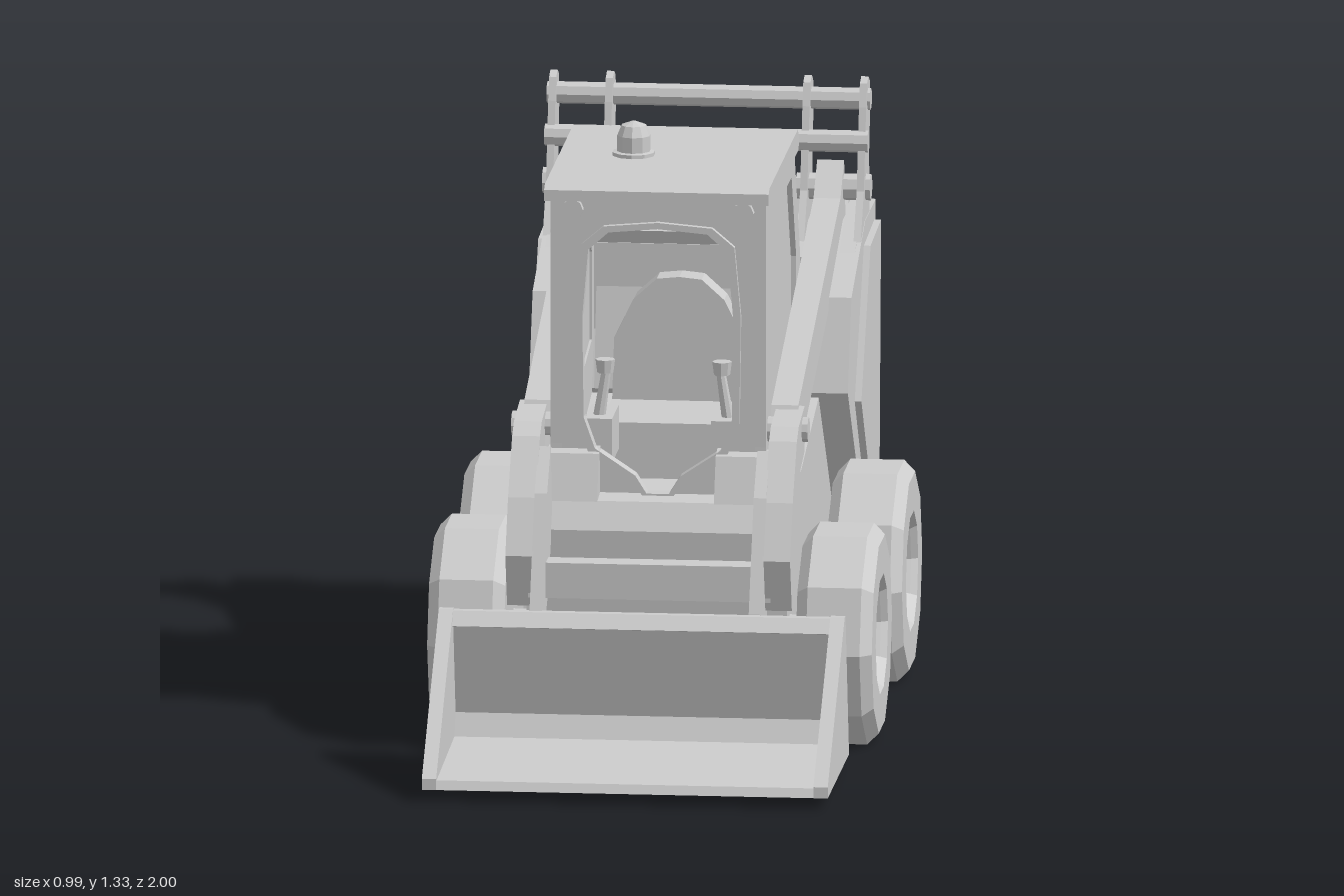
import * as THREE from 'three';

export function createModel() {
  const root = new THREE.Group();
  const mat = new THREE.MeshStandardMaterial({ color: 0xcccccc, flatShading: true, side: THREE.DoubleSide });
  const add = (name, geo, parent = root) => {
    const m = new THREE.Mesh(geo, mat);
    m.name = name;
    parent.add(m);
    return m;
  };
  const box = (name, x0, x1, y0, y1, z0, z1) =>
    add(name, new THREE.BoxGeometry(Math.abs(x1 - x0), y1 - y0, z1 - z0)
      .translate((x0 + x1) / 2, (y0 + y1) / 2, (z0 + z1) / 2));
  const shapeOf = (pts, hole) => {
    const s = new THREE.Shape(pts.map(p => new THREE.Vector2(...p)));
    if (hole) s.holes.push(new THREE.Path(hole.map(p => new THREE.Vector2(...p))));
    return s;
  };
  const extrude = (pts, depth, hole) =>
    new THREE.ExtrudeGeometry(shapeOf(pts, hole), { depth, bevelEnabled: false });
  // Side profile given as [z, y], spanning a..b in x
  const slab = (name, pts, a, b, hole) =>
    add(name, extrude(pts, Math.abs(b - a), hole).rotateY(-Math.PI / 2).translate(Math.max(a, b), 0, 0));
  const rodX = (name, x0, x1, y, z, r, n = 8) =>
    add(name, new THREE.CylinderGeometry(r, r, Math.abs(x1 - x0), n).rotateZ(Math.PI / 2).translate((x0 + x1) / 2, y, z));
  const mirrorPts = half => [...half, ...half.filter(p => p[0] > 0).reverse().map(([x, y]) => [-x, y])];

  // Wheels: ten-sided tyre with a deep rim, hub and ring of bolts
  const tyre = [[0.001, -0.085], [0.22, -0.085], [0.247, -0.06], [0.247, 0.06], [0.222, 0.085], [0.135, 0.085],
    [0.125, 0.07], [0.1, 0.015], [0.085, 0.015], [0.085, 0.03], [0.05, 0.03], [0.05, 0.045], [0.001, 0.045]]
    .map(p => new THREE.Vector2(...p));
  for (const s of [1, -1]) for (const z of [0.24, -0.42]) {
    const wheel = new THREE.Group();
    wheel.name = 'wheel';
    add('tyre', new THREE.LatheGeometry(tyre, 10).rotateZ(-Math.PI / 2), wheel);
    for (let i = 0; i < 10; i++) {
      const a = i * Math.PI / 5;
      add('bolt', new THREE.CylinderGeometry(0.011, 0.011, 0.03, 6).rotateZ(Math.PI / 2)
        .translate(0.035, 0.07 * Math.sin(a), 0.07 * Math.cos(a)), wheel);
    }
    wheel.position.set(s * 0.41, 0.235, z);
    wheel.rotation.y = s > 0 ? 0 : Math.PI;
    root.add(wheel);
  }
  for (const z of [0.24, -0.42]) rodX('axle', -0.36, 0.36, 0.235, z, 0.04);

  // Chassis and front nose
  slab('chassis', [[0.3, 0.48], [-0.39, 0.63], [-0.77, 0.25], [-0.66, 0.21], [0.3, 0.21]], -0.29, 0.29);
  slab('nose', [[0.25, 0.55], [0.32, 0.54], [0.355, 0.48], [0.34, 0.28], [0.25, 0.25]], -0.245, 0.245);
  for (const s of [1, -1])
    slab('noseCheek', [[0.25, 0.65], [0.29, 0.64], [0.33, 0.54], [0.25, 0.53]], s * 0.13, s * 0.245);

  // Engine housing: two flanks around a recessed middle
  const flank = [[-0.39, 0.64], [-0.47, 0.84], [-0.77, 0.95], [-1, 0.95], [-0.955, 0.285], [-0.77, 0.24]];
  for (const s of [1, -1]) {
    slab('engineFlank', flank, s * 0.2, s * 0.355);
    slab('sidePanel', [[-0.54, 0.59], [-0.74, 0.9], [-0.97, 0.91], [-0.935, 0.31], [-0.79, 0.3]], s * 0.35, s * 0.37);
    slab('rearPillar', [[-0.94, 0.95], [-1, 0.99], [-0.99, 0.8], [-0.98, 0.62]], s * 0.2, s * 0.3);
    box('rearLight', s * 0.295, s * 0.325, 0.66, 0.8, -1, -0.97);
  }
  slab('engineCore', [[-0.39, 0.64], [-0.46, 0.95], [-0.96, 0.95], [-0.925, 0.3], [-0.77, 0.24]], -0.21, 0.21);
  slab('rearApron', [[-0.9, 0.28], [-0.955, 0.285], [-0.966, 0.45], [-0.9, 0.45]], -0.21, 0.21);
  for (let i = 0; i < 6; i++) {
    const y = 0.49 + i * 0.075, z = -0.93 - i * 0.004;
    slab('rearLouver', [[z, y + 0.05], [z - 0.015, y + 0.05], [z - 0.045, y], [z, y]], -0.2, 0.2);
  }

  // Hood on top with slats and exhaust
  slab('hood', [[-0.46, 0.93], [-0.48, 1.03], [-0.62, 1.04], [-0.95, 1.0], [-0.985, 0.94]], -0.2, 0.2);
  box('hoodShelf', -0.29, 0.29, 0.82, 0.93, -0.62, -0.47);
  for (const z of [-0.6, -0.66, -0.72, -0.9])
    box('hoodSlat', -0.11, 0.11, 1.0, 1.045 + (z + 0.6) * 0.12, z - 0.008, z + 0.008);
  const pipe = new THREE.CatmullRomCurve3([[0.12, 1.0, -0.53], [0.12, 1.06, -0.53], [0.12, 1.085, -0.515], [0.12, 1.1, -0.49]]
    .map(p => new THREE.Vector3(...p)));
  add('exhaust', new THREE.TubeGeometry(pipe, 6, 0.014, 8));

  // Cab shell
  const cabSide = [[0.25, 1.22], [-0.34, 1.22], [-0.47, 0.95], [-0.47, 0.62], [-0.39, 0.6], [0.27, 0.47]];
  const sideHole = [[0.2, 1.15], [-0.29, 1.15], [-0.39, 0.95], [-0.39, 0.75], [0.2, 0.65]];
  for (const s of [1, -1]) {
    slab('cabSide', cabSide, s * 0.215, s * 0.24, sideHole);
    slab('sideWindow', sideHole, s * 0.22, s * 0.228);
  }
  slab('roof', [[0.31, 1.215], [0.31, 1.24], [0.29, 1.25], [-0.33, 1.25], [-0.36, 1.22], [-0.34, 1.2], [0.25, 1.21]], -0.25, 0.25);
  const doorway = mirrorPts([[0, 1.15], [0.11, 1.14], [0.155, 1.1], [0.168, 0.95], [0.165, 0.72], [0.14, 0.65], [0.05, 0.59], [0.025, 0.55]]);
  add('cabFront', extrude([[-0.24, 0.5], [0.24, 0.5], [0.24, 1.22], [-0.24, 1.22]], 0.02, doorway).translate(0, 0, 0.245));
  const doorRim = doorway.map(([x, y]) => [x * 1.1, 0.87 + (y - 0.87) * 1.05]);
  add('doorFrame', extrude(doorRim, 0.025, doorway).translate(0, 0, 0.255));
  const rearHole = [[-0.17, 0.08], [-0.14, 0.055], [0.14, 0.055], [0.17, 0.08], [0.17, 0.21], [0.14, 0.235], [-0.14, 0.235], [-0.17, 0.21]];
  add('cabRear', extrude([[-0.235, 0], [0.235, 0], [0.235, 0.3], [-0.235, 0.3]], 0.02, rearHole)
    .rotateX(0.448).translate(0, 0.95, -0.47));
  box('cabBulkhead', -0.23, 0.23, 0.6, 0.96, -0.47, -0.44);

  // Seat and control levers
  box('seatBase', -0.15, 0.15, 0.5, 0.66, -0.25, 0.05);
  const back = mirrorPts([[0, 0.94], [0.05, 0.935], [0.1, 0.89], [0.145, 0.8], [0.15, 0.64]]);
  add('seatBack', extrude(back, 0.07).translate(0, 0, -0.26));
  for (const s of [1, -1]) {
    box('leverConsole', s * 0.11, s * 0.17, 0.6, 0.7, 0.05, 0.2);
    add('lever', new THREE.CylinderGeometry(0.01, 0.014, 0.12, 8).rotateZ(s * 0.15).translate(s * 0.135, 0.75, 0.15));
    add('leverGrip', new THREE.CylinderGeometry(0.022, 0.018, 0.03, 8).translate(s * 0.13, 0.81, 0.15));
    add('headlight', new THREE.CylinderGeometry(0.024, 0.024, 0.03, 8).rotateX(Math.PI / 2).translate(s * 0.19, 1.19, 0.27));
  }

  // Roof beacon
  const dome = [[0.048, 1.245], [0.048, 1.258], [0.038, 1.26], [0.038, 1.295], [0.028, 1.318], [0.001, 1.328]];
  add('beacon', new THREE.LatheGeometry(dome.map(p => new THREE.Vector2(...p)), 10).translate(-0.085, 0, -0.03));

  // Lift arms, rear towers and pins
  const tower = [[-0.68, 0.92], [-0.75, 1.02], [-0.8, 1.2], [-0.82, 1.25], [-0.85, 1.26], [-0.88, 1.245], [-0.892, 1.2], [-0.865, 1.08], [-0.88, 0.94]];
  for (const s of [1, -1]) {
    slab('liftArm', [[-0.8, 1.08], [-0.72, 1.01], [0.2, 0.74], [0.27, 0.6], [-0.62, 0.86], [-0.83, 0.95]], s * 0.245, s * 0.305);
    slab('armElbow', [[0.18, 0.735], [0.31, 0.715], [0.35, 0.69], [0.44, 0.57], [0.5, 0.45], [0.46, 0.33], [0.41, 0.34],
      [0.33, 0.48], [0.27, 0.61], [0.19, 0.63], [0.16, 0.68]], s * 0.255, s * 0.317);
    slab('armTip', [[0.36, 0.67], [0.44, 0.58], [0.55, 0.34], [0.57, 0.22], [0.555, 0.185], [0.525, 0.19], [0.5, 0.28], [0.41, 0.36], [0.33, 0.5]], s * 0.23, s * 0.258);
    rodX('elbowPin', s * 0.23, s * 0.33, 0.69, 0.22, 0.028, 10);
    rodX('tipPin', s * 0.19, s * 0.27, 0.21, 0.545, 0.024);
    box('couplerLug', s * 0.18, s * 0.25, 0.17, 0.26, 0.53, 0.585);
    for (const x of [0.212, 0.338]) slab('tower', tower, s * x, s * (x + 0.016));
    rodX('armPivot', s * 0.2, s * 0.365, 1.02, -0.8, 0.03);
    // Lift cylinder tucked under the arm
    slab('liftCylinder', [[-0.47, 0.82], [-0.49, 0.77], [-0.78, 0.9], [-0.76, 0.96]], s * 0.31, s * 0.345);
  }
  rodX('upperBar', -0.36, 0.36, 1.21, -0.845, 0.025);
  rodX('lowerBar', -0.36, 0.36, 1.125, -0.79, 0.025);
  box('armCrossbar', -0.27, 0.27, 0.35, 0.43, 0.41, 0.47);

  // Bucket: bent shell between two end plates, with coupler rail
  slab('bucketShell', [[1, 0.025], [0.535, 0.025], [0.61, 0.352], [0.63, 0.352], [0.655, 0.322], [0.625, 0.315],
    [0.575, 0.11], [0.6, 0.06], [0.99, 0.045]], -0.44, 0.44);
  for (const s of [1, -1])
    slab('bucketEnd', [[1, 0.025], [0.535, 0.025], [0.612, 0.355], [0.63, 0.355], [1, 0.05]], s * 0.42, s * 0.452);
  box('couplerRail', -0.27, 0.27, 0.24, 0.28, 0.535, 0.6);
  return root;
}
